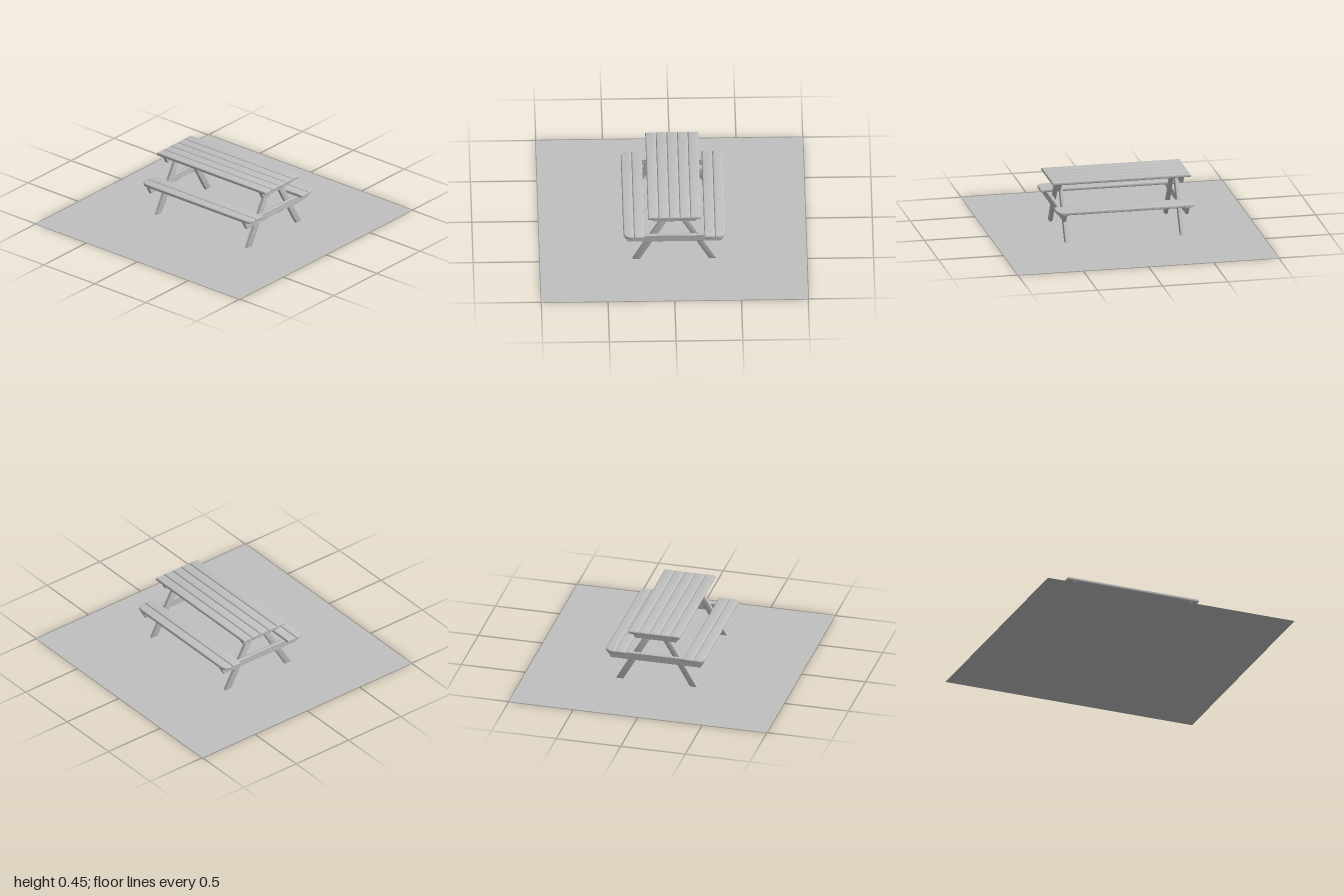
import * as THREE from 'three';
import { toCreasedNormals } from 'three/addons/utils/BufferGeometryUtils.js';

const CX = 0.008, CZ = 0.032; // table centre on the ground sheet

// Bevelled solid of the given thickness, centred on z = 0
function bevelled(shape, thickness, size, depth, segments) {
  const g = new THREE.ExtrudeGeometry(shape, {
    depth: thickness - 2 * depth, curveSegments: 6, bevelEnabled: true,
    bevelSize: size, bevelOffset: -size, bevelThickness: depth, bevelSegments: segments,
  });
  g.translate(0, 0, -thickness / 2 + depth);
  return toCreasedNormals(g, 0.7);
}

// Plank outline with optional rounded corners on its +x side
function plankShape(w, l, r) {
  const s = new THREE.Shape();
  const x = w / 2, y = l / 2;
  s.moveTo(-x, -y);
  if (r > 0) {
    s.lineTo(x - r, -y);
    s.quadraticCurveTo(x - r * 0.1, -y + r * 0.1, x, -y + r);
    s.lineTo(x, y - r);
    s.quadraticCurveTo(x - r * 0.1, y - r * 0.1, x - r, y);
  } else {
    s.lineTo(x, -y);
    s.lineTo(x, y);
  }
  s.lineTo(-x, y);
  s.closePath();
  return s;
}

export function createModel() {
  const model = new THREE.Group();
  model.name = 'picnicTable';
  const grey = new THREE.MeshStandardMaterial({ color: 0xc0c0c0 });
  grey.name = 'warmGrey';
  const groundGrey = new THREE.MeshStandardMaterial({ color: 0xc0c0c0, side: THREE.DoubleSide });
  groundGrey.name = 'groundGrey';

  const ground = new THREE.Mesh(new THREE.PlaneGeometry(2, 2).rotateX(-Math.PI / 2), groundGrey);
  ground.name = 'ground';
  model.add(ground);

  const table = new THREE.Group();
  table.name = 'table';
  table.position.set(CX, 0, CZ);
  model.add(table);

  const add = (geometry, name, x, y, z) => {
    const m = new THREE.Mesh(geometry, grey);
    m.name = name;
    m.position.set(x, y, z);
    table.add(m);
    return m;
  };

  // Tabletop and seat planks
  const W = 0.0795, L = 1.062, T = 0.026;
  const plank = bevelled(plankShape(W, L, 0), T, 0.011, 0.0125, 3).rotateX(-Math.PI / 2);
  const outerPlank = bevelled(plankShape(W, L, 0.05), T, 0.011, 0.0125, 3).rotateX(-Math.PI / 2);
  for (let i = -2; i <= 2; i++) add(plank, 'tabletopPlank', i * W, 0.438, 0);
  for (const side of [-1, 1]) {
    add(plank, 'innerSeatPlank', side * 0.2635, 0.257, 0);
    const outer = add(outerPlank, 'outerSeatPlank', side * 0.343, 0.257, 0);
    if (side < 0) outer.rotation.y = Math.PI;
  }

  // Tapered cross beams and splayed legs at both ends
  const outline = (pts) => new THREE.Shape(pts.map(([x, y]) => new THREE.Vector2(x, y)));
  const beam = (top, bottom, y0, y1) => bevelled(
    outline([[-bottom, y0], [bottom, y0], [top, y1], [-top, y1]]), 0.027, 0.003, 0.003, 1);
  const topBeam = beam(0.188, 0.16, 0.375, 0.427);
  const seatBeam = beam(0.38, 0.348, 0.188, 0.245);
  const legPoints = [[0.258, 0.005], [0.315, 0.005], [0.073, 0.427], [0.016, 0.427]];
  const leg = {
    1: bevelled(outline(legPoints), 0.026, 0.004, 0.004, 2),
    '-1': bevelled(outline(legPoints.map(([x, y]) => [-x, y]).reverse()), 0.026, 0.004, 0.004, 2),
  };
  for (const end of [-1, 1]) {
    add(topBeam, 'topBeam', 0, 0, end * 0.469);
    add(seatBeam, 'seatBeam', 0, 0, end * 0.469);
    for (const side of [-1, 1]) add(leg[side], 'leg', 0, 0, end * 0.442);
  }
  return model;
}
